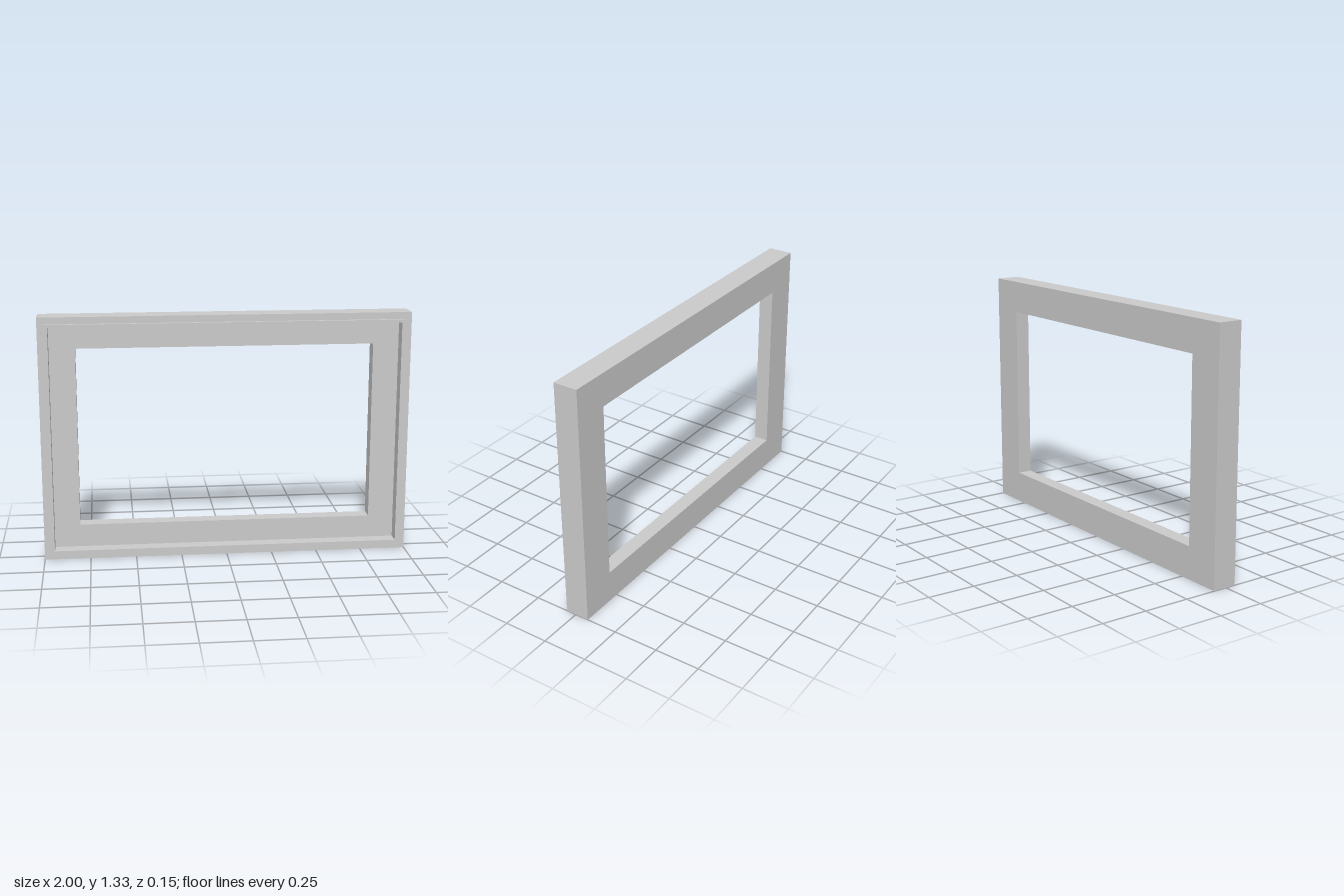
import * as THREE from 'three';

// Closed frame made by joining rectangles [half width, half height, z] in a loop
function frameGeometry(rings, centerY) {
  const corners = [[-1, -1], [1, -1], [1, 1], [-1, 1]];
  const point = (r, k) => {
    const [w, h, z] = rings[r % rings.length];
    const [sx, sy] = corners[k % 4];
    return [sx * w, centerY + sy * h, z];
  };
  const positions = [];
  for (let r = 0; r < rings.length; r++) {
    for (let k = 0; k < 4; k++) {
      const a = point(r, k), b = point(r, k + 1);
      const c = point(r + 1, k + 1), d = point(r + 1, k);
      positions.push(...a, ...b, ...c, ...a, ...c, ...d);
    }
  }
  const geometry = new THREE.BufferGeometry();
  geometry.setAttribute('position', new THREE.Float32BufferAttribute(positions, 3));
  geometry.computeVertexNormals();
  return geometry;
}

export function createModel() {
  const group = new THREE.Group();
  group.name = 'rectangularFrame';

  const back = -0.077, ledge = 0.004, face = 0.057, lip = 0.077;
  const profile = [
    [1, 0.667, back], [1, 0.667, face],           // outer side
    [0.963, 0.63, face], [0.963, 0.63, lip],      // front border and lip outside
    [0.944, 0.614, lip], [0.944, 0.614, ledge],   // lip top and recess wall
    [0.804, 0.49, ledge], [0.804, 0.49, back],    // recessed ledge and opening wall
  ];

  const material = new THREE.MeshStandardMaterial({ color: 0xcccccc, flatShading: true });
  const frame = new THREE.Mesh(frameGeometry(profile, 0.667), material);
  frame.name = 'frameWithRaisedLip';
  group.add(frame);
  return group;
}
